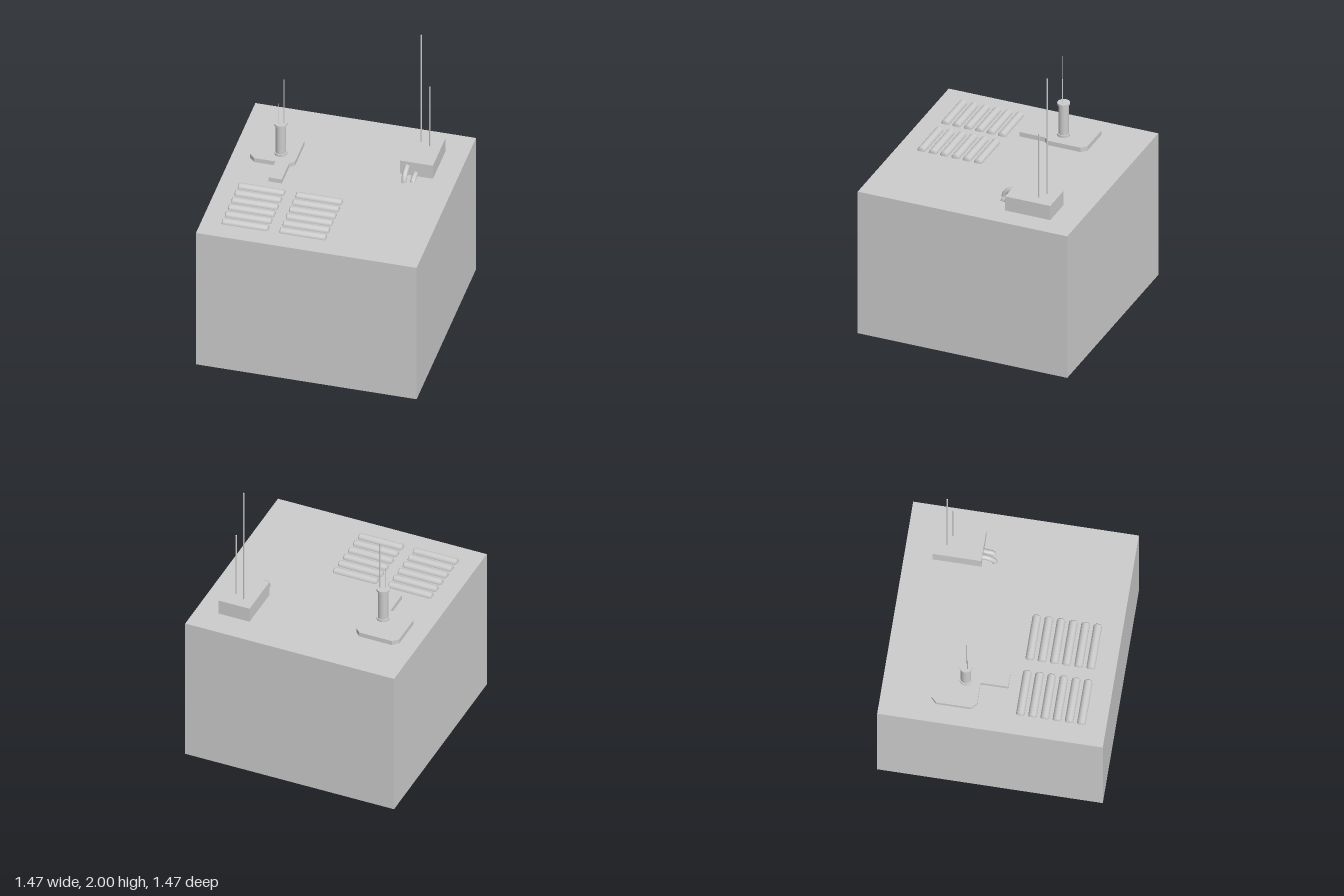
import * as THREE from 'three';

const TOP = 1.047; // height of the block's upper face

export function createModel() {
  const root = new THREE.Group();
  const mat = new THREE.MeshStandardMaterial({ color: 0xcccccc });
  const open = new THREE.MeshStandardMaterial({ color: 0xcccccc, side: THREE.DoubleSide });

  function add(name, geometry, x, y, z, parent = root, material = mat) {
    const mesh = new THREE.Mesh(geometry, material);
    mesh.name = name;
    mesh.position.set(x, y, z);
    parent.add(mesh);
    return mesh;
  }
  function group(name) {
    const g = new THREE.Group();
    g.name = name;
    root.add(g);
    return g;
  }
  // Thin upright rod between two heights
  function rod(name, x, z, y0, y1, r, parent) {
    add(name, new THREE.CylinderGeometry(r, r, y1 - y0, 10), x, (y0 + y1) / 2, z, parent);
  }

  // Main block
  add('block', new THREE.BoxGeometry(1.472, TOP, 1.472), 0, TOP / 2, 0);

  // Two banks of half-round vent slats with small end bevels
  const L = 0.154, R = 0.028, B = 0.008;
  const profile = [[0, -L], [R - B, -L], [R, -L + B], [R, L - B], [R - B, L], [0, L]];
  const slat = new THREE.LatheGeometry(profile.map(([r, y]) => new THREE.Vector2(r, y)), 12, 0, Math.PI);
  slat.rotateZ(Math.PI / 2);
  // Turn the half that was swept so its round side faces up
  slat.computeBoundingBox();
  if (slat.boundingBox.max.y < R / 2) slat.rotateX(Math.PI);
  for (const [name, x] of [['rightVent', -0.449], ['leftVent', -0.064]]) {
    const bank = group(name);
    for (let i = 0; i < 6; i++) add('ventSlat', slat, x, TOP, 0.175 + i * 0.0796, bank, open);
  }

  // Chamfered plate with a tongue towards the front
  const mast = group('mast');
  const outline = [
    [-0.575, -0.408], [-0.345, -0.408], [-0.311, -0.374], [-0.311, -0.144], [-0.343, -0.11],
    [-0.343, 0.07], [-0.433, 0.07], [-0.433, -0.11], [-0.575, -0.11], [-0.611, -0.144], [-0.611, -0.372],
  ];
  const plateShape = new THREE.Shape(outline.map(([x, z]) => new THREE.Vector2(x, -z)));
  const plate = new THREE.ExtrudeGeometry(plateShape, { depth: 0.032, bevelEnabled: false });
  plate.rotateX(-Math.PI / 2);
  add('mastPlate', plate, 0, TOP, 0, mast);

  // Post with a flange at each end, carrying two whips
  const px = -0.424, pz = -0.207;
  add('post', new THREE.CylinderGeometry(0.034, 0.034, 0.24, 24), px, 1.2, pz, mast);
  for (const y of [1.086, 1.313]) {
    add('postFlange', new THREE.CylinderGeometry(0.042, 0.042, 0.014, 24), px, y, pz, mast);
  }
  rod('tallWhip', -0.403, -0.206, 1.31, 1.67, 0.003, mast);
  rod('shortWhip', -0.438, -0.194, 1.31, 1.48, 0.002, mast);

  // Equipment box with two antennas
  const radio = group('radio');
  add('radioBox', new THREE.BoxGeometry(0.219, 0.104, 0.317), 0.4745, TOP + 0.052, -0.3915, radio);
  rod('tallAntenna', 0.442, -0.467, 1.14, 2, 0.005, radio);
  rod('shortAntenna', 0.509, -0.438, 1.14, 1.62, 0.005, radio);

  // Cables bending from the box front down into the block
  for (const [x, h, d] of [[0.412, 0.065, 0.082], [0.467, 0.018, 0.066]]) {
    const z = -0.233;
    const path = new THREE.CubicBezierCurve3(
      new THREE.Vector3(x, TOP + h, z - 0.01),
      new THREE.Vector3(x, TOP + h, z + d * 0.55),
      new THREE.Vector3(x, TOP + h * 0.55, z + d),
      new THREE.Vector3(x, TOP - 0.01, z + d),
    );
    add('cable', new THREE.TubeGeometry(path, 16, 0.0175, 12), 0, 0, 0, radio, open);
  }
  return root;
}
